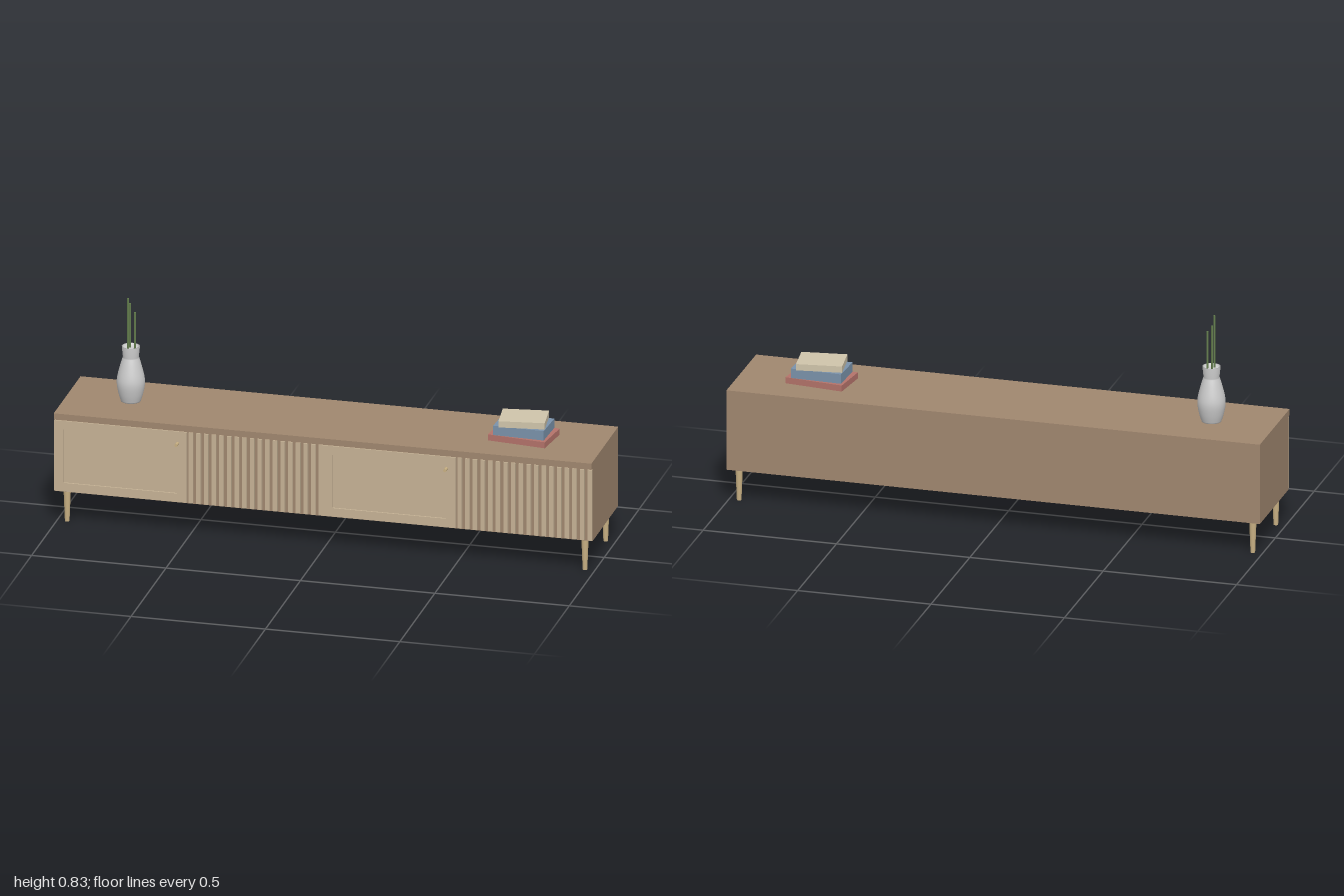
import * as THREE from 'three';

const mat = (color, extra = {}) => new THREE.MeshStandardMaterial({ color, ...extra });
const walnut = mat(0xa0876f), oak = mat(0xc6b295), paleWood = mat(0xc8b083);

function add(parent, name, geometry, material, x = 0, y = 0, z = 0) {
  const mesh = new THREE.Mesh(geometry, material);
  mesh.name = name;
  mesh.position.set(x, y, z);
  parent.add(mesh);
  return mesh;
}

// Box given by its min and max corners
function addBox(parent, name, material, [x0, y0, z0], [x1, y1, z1]) {
  return add(parent, name, new THREE.BoxGeometry(x1 - x0, y1 - y0, z1 - z0), material,
    (x0 + x1) / 2, (y0 + y1) / 2, (z0 + z1) / 2);
}

const rectPoints = (x0, y0, x1, y1) =>
  [[x0, y0], [x1, y0], [x1, y1], [x0, y1]].map(([x, y]) => new THREE.Vector2(x, y));

const FACE = 0.167, DEPTH = 0.011, LOW = 0.13, HIGH = 0.402;

// Framed door with a recessed panel and a round knob
function createDoor(x0) {
  const door = new THREE.Group();
  door.name = 'panelDoor';
  const x1 = x0 + 0.493;
  const frame = new THREE.Shape(rectPoints(x0, LOW, x1, HIGH));
  frame.holes.push(new THREE.Path(rectPoints(x0 + 0.035, LOW + 0.033, x1 - 0.035, HIGH - 0.033).reverse()));
  add(door, 'doorFrame', new THREE.ExtrudeGeometry(frame, { depth: DEPTH, bevelEnabled: false }), oak, 0, 0, FACE);
  addBox(door, 'doorPanel', oak, [x0 + 0.03, LOW + 0.03, FACE], [x1 - 0.03, HIGH - 0.03, FACE + 0.005]);
  const knob = add(door, 'knob', new THREE.CylinderGeometry(0.006, 0.006, 0.03, 16), paleWood, x0 + 0.459, 0.357, 0.186);
  knob.rotation.x = Math.PI / 2;
  return door;
}

// Row of upright slats over the cabinet face
function createSlats(x0, x1) {
  const slats = new THREE.Group();
  slats.name = 'slattedDoor';
  const count = 18, width = 0.016;
  for (let i = 0; i < count; i++) {
    const x = x0 + (x1 - x0 - width) * i / (count - 1);
    addBox(slats, 'slat', oak, [x, LOW, FACE - 0.002], [x + width, HIGH, FACE + DEPTH]);
  }
  return slats;
}

function createVase() {
  const vase = new THREE.Group();
  vase.name = 'vaseWithStems';
  const outline = new THREE.SplineCurve([
    [0.036, 0], [0.045, 0.03], [0.051, 0.065], [0.049, 0.095], [0.038, 0.14], [0.029, 0.17],
  ].map(([r, y]) => new THREE.Vector2(r, y))).getPoints(24);
  const lip = [[0.033, 0.21], [0.029, 0.21], [0.027, 0.2], [0, 0.2]].map(([r, y]) => new THREE.Vector2(r, y));
  const profile = [new THREE.Vector2(0, 0), ...outline, ...lip];
  add(vase, 'vase', new THREE.LatheGeometry(profile, 32), mat(0xcccccc, { side: THREE.DoubleSide }));
  // Stems: x, z and top height
  const green = mat(0x66804f);
  for (const [x, z, top] of [[-0.006, 0.016, 0.4], [0.016, 0.002, 0.342], [-0.006, -0.012, 0.37]]) {
    add(vase, 'stem', new THREE.CylinderGeometry(0.0035, 0.0035, top - 0.1, 8), green, x, (top + 0.1) / 2, z);
  }
  vase.position.set(-0.764, 0.43, -0.012);
  return vase;
}

function createBooks() {
  const books = new THREE.Group();
  books.name = 'bookStack';
  // Width, thickness, depth, turn, colour
  const list = [
    [0.22, 0.023, 0.148, -0.12, 0xb4736a],
    [0.19, 0.036, 0.132, -0.04, 0x7a92aa],
    [0.168, 0.024, 0.128, 0.13, 0xcfc4aa],
  ];
  let y = 0;
  for (const [w, h, d, turn, color] of list) {
    add(books, 'book', new THREE.BoxGeometry(w, h, d), mat(color), 0, y + h / 2, 0).rotation.y = turn;
    y += h;
  }
  books.position.set(0.698, 0.43, -0.01);
  return books;
}

export function createModel() {
  const model = new THREE.Group();
  model.name = 'sideboard';

  // Carcass and top
  addBox(model, 'cabinetBody', walnut, [-1, 0.125, -0.2], [1, 0.406, FACE]);
  addBox(model, 'cabinetTop', walnut, [-1, 0.406, -0.2], [1, 0.43, 0.183]);

  // Two bays, each a framed door beside a slatted one
  for (const x of [-1, 0]) {
    model.add(createDoor(x));
    model.add(createSlats(x + 0.5, x + 1));
  }

  // Tapered legs
  const legGeometry = new THREE.CylinderGeometry(0.0135, 0.0085, 0.126, 20);
  for (const x of [-0.963, 0.963]) {
    for (const z of [0.133, -0.163]) add(model, 'leg', legGeometry, paleWood, x, 0.063, z);
  }

  model.add(createVase(), createBooks());
  return model;
}
